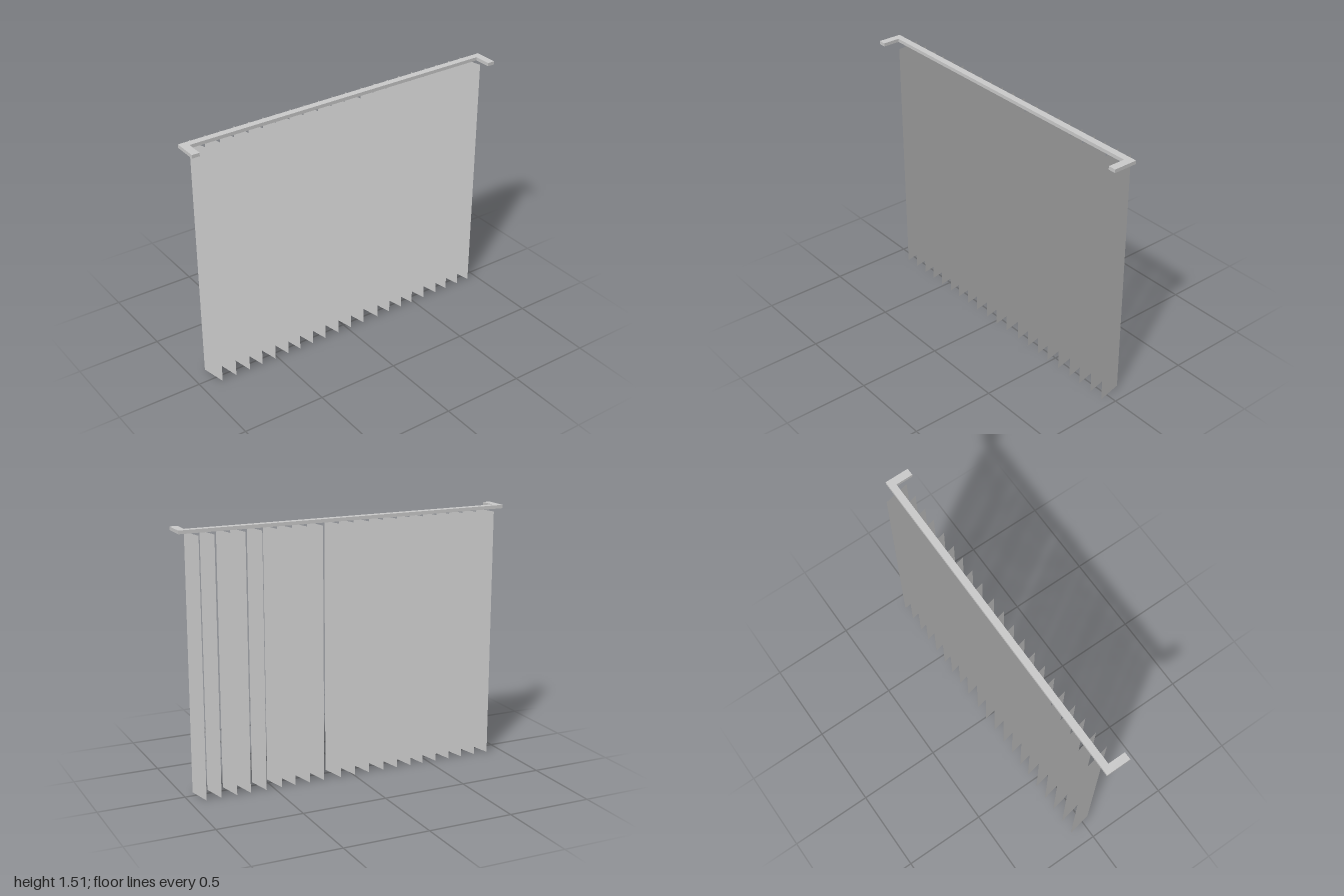
import * as THREE from 'three';

const SLAT_TOP = 1.485, RAIL_BOTTOM = 1.49, RAIL_THICKNESS = 0.02;
const FRONT_Z = 0.05, BACK_Z = -0.1, SLAT_DX = 0.03;

// x of each slat's back edge; the hand-hung spacing is slightly uneven
const SLAT_X = [
  -0.905, -0.814, -0.723, -0.637, -0.547, -0.457, -0.375, -0.285, -0.195, -0.099, -0.007,
  0.084, 0.191, 0.281, 0.372, 0.455, 0.549, 0.645, 0.727, 0.82, 0.908,
];

export function createModel() {
  const model = new THREE.Group();
  model.name = 'verticalBlind';
  const railMaterial = new THREE.MeshStandardMaterial({ color: 0xcccccc, flatShading: true });
  const slatMaterial = new THREE.MeshStandardMaterial({ color: 0xcccccc, side: THREE.DoubleSide });

  // Head rail with a short return arm at each end, drawn in plan (shape y = -z)
  const plan = new THREE.Shape([
    [-1, 0.043], [-1, -0.1], [-0.955, -0.1], [-0.955, 0.003],
    [0.955, 0.003], [0.955, -0.1], [1, -0.1], [1, 0.043],
  ].map(([x, y]) => new THREE.Vector2(x, y)));
  const railGeometry = new THREE.ExtrudeGeometry(plan, { depth: RAIL_THICKNESS, bevelEnabled: false });
  railGeometry.rotateX(-Math.PI / 2);
  const rail = new THREE.Mesh(railGeometry, railMaterial);
  rail.name = 'headRail';
  rail.position.y = RAIL_BOTTOM;
  model.add(rail);

  // Thin slats, all turned by the same angle so the front edge sits further to +x
  const depth = FRONT_Z - BACK_Z;
  const slatGeometry = new THREE.PlaneGeometry(Math.hypot(SLAT_DX, depth), SLAT_TOP);
  slatGeometry.rotateY(-Math.atan2(depth, SLAT_DX));
  const slats = new THREE.Group();
  slats.name = 'slats';
  SLAT_X.forEach((x, i) => {
    const slat = new THREE.Mesh(slatGeometry, slatMaterial);
    slat.name = `slat${i + 1}`;
    slat.position.set(x + SLAT_DX / 2, SLAT_TOP / 2, (FRONT_Z + BACK_Z) / 2);
    slats.add(slat);
  });
  model.add(slats);

  return model;
}
